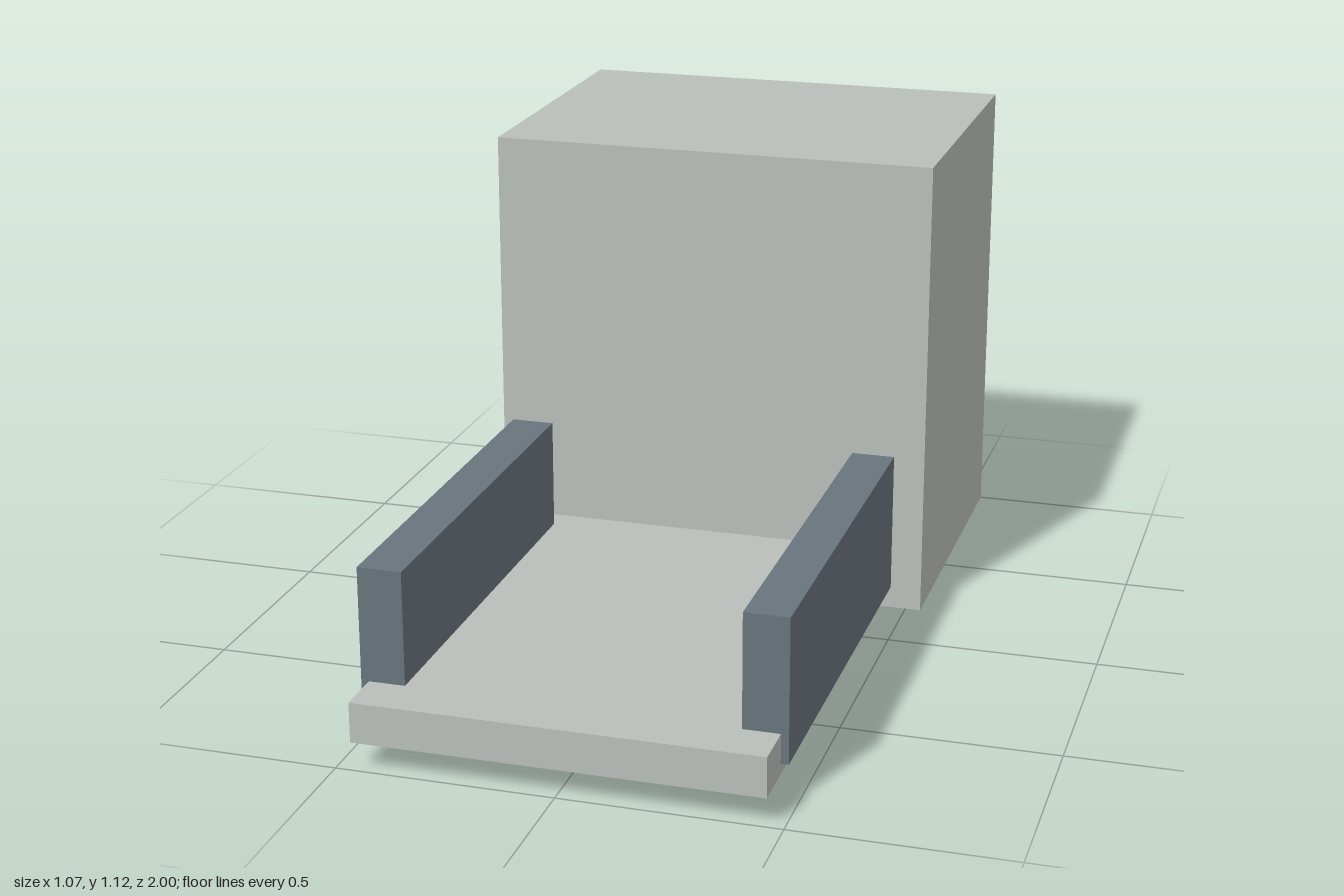
import * as THREE from 'three';

const paleGrey = new THREE.MeshStandardMaterial({ name: 'paleGrey', color: 0xbabfba });
const slateBlue = new THREE.MeshStandardMaterial({ name: 'slateBlue', color: 0x69747d });

// Box given by its lower and upper limits on each axis
function block(name, material, [x0, x1], [y0, y1], [z0, z1]) {
  const mesh = new THREE.Mesh(new THREE.BoxGeometry(x1 - x0, y1 - y0, z1 - z0), material);
  mesh.position.set((x0 + x1) / 2, (y0 + y1) / 2, (z0 + z1) / 2);
  mesh.name = name;
  return mesh;
}

export function createModel() {
  const model = new THREE.Group();
  model.name = 'cabinetWithPlatform';

  // Tall cabinet at the back
  model.add(block('cabinet', paleGrey, [-0.537, 0.537], [0, 1.116], [-1, -0.195]));

  // Low platform, raised off the ground with a small gap to the cabinet
  model.add(block('platform', paleGrey, [-0.463, 0.463], [0.066, 0.16], [-0.168, 1]));

  // Side rails, standing slightly proud of the platform edges
  for (const side of [-1, 1]) {
    const x = 0.4295 * side;
    model.add(block(side > 0 ? 'leftRail' : 'rightRail', slateBlue,
      [x - 0.051, x + 0.051], [0.091, 0.426], [-0.107, 0.887]));
  }
  return model;
}
